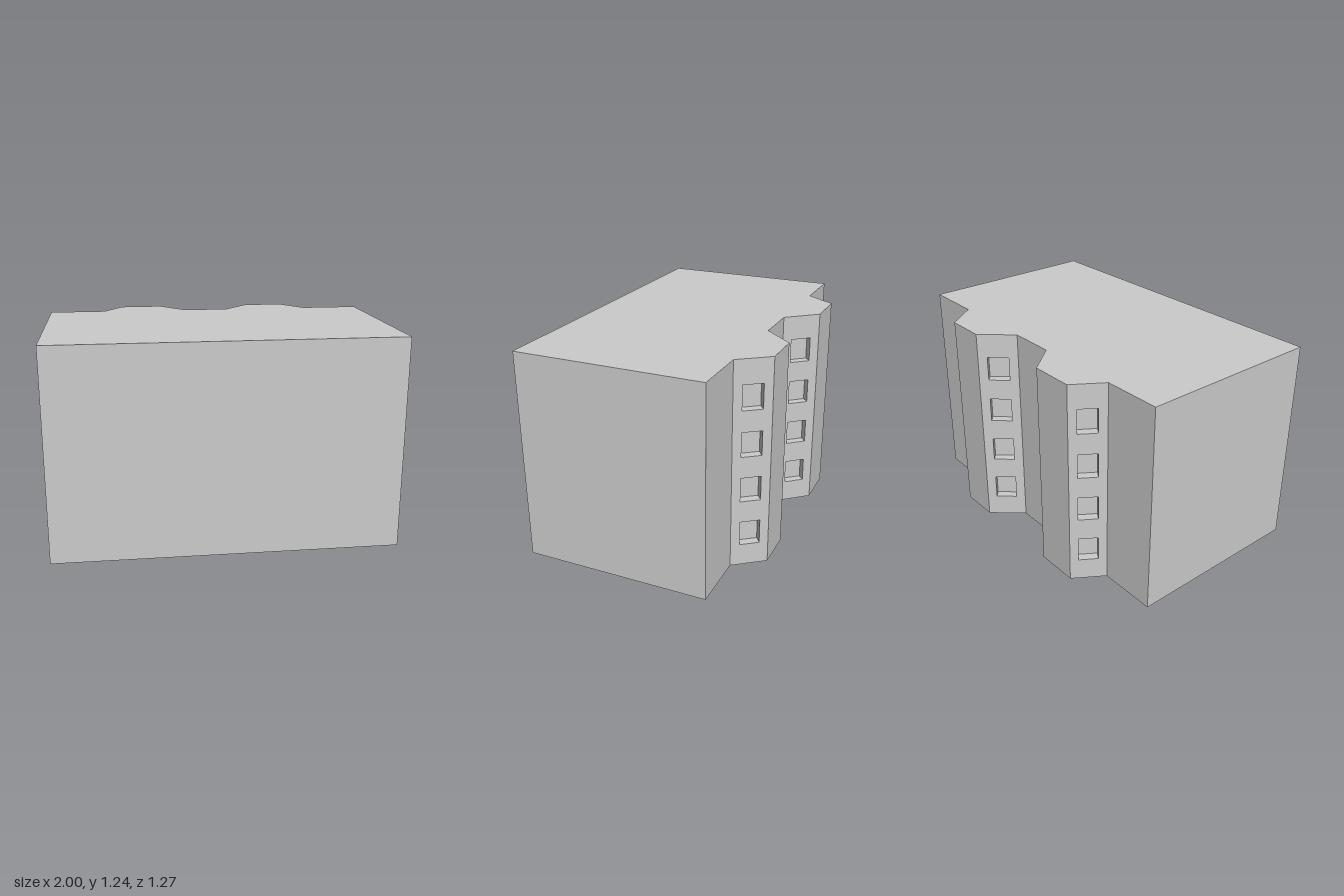
import * as THREE from 'three';

const HEIGHT = 1.235;
const DEPTH = 0.05; // window recess
const WINDOW_H = 0.145;
const SILLS = [0.13, 0.405, 0.677, 0.947];

// Footprint [x, z], running front, +x side, back with two bays, -x side
const OUTLINE = [
  [-1, 0.635], [1, 0.635], [1, -0.46],
  [0.655, -0.46], [0.525, -0.635], [0.29, -0.635], [0.135, -0.46],
  [-0.14, -0.46], [-0.29, -0.635], [-0.545, -0.635], [-0.66, -0.46],
  [-1, -0.46],
];
const GLAZED = [3, 5, 7, 9]; // slanted bay sides that carry windows

const material = new THREE.MeshStandardMaterial({ color: 0xcccccc, flatShading: true });
const insideMaterial = material.clone();
insideMaterial.side = THREE.BackSide;

function mesh(name, geometry, mat = material) {
  const m = new THREE.Mesh(geometry, mat);
  m.name = name;
  return m;
}

function rectangle(PathType, x, y, w, h) {
  return new PathType([[x, y], [x + w, y], [x + w, y + h], [x, y + h]]
    .map(([a, b]) => new THREE.Vector2(a, b)));
}

// Open-fronted box seen from within: jambs, sill, lintel and rear panel
function recess(x, y, w) {
  const box = new THREE.BoxGeometry(w, WINDOW_H, DEPTH);
  box.setIndex([...box.index.array].filter((_, i) => i < 24 || i >= 30));
  box.translate(x + w / 2, y + WINDOW_H / 2, -DEPTH / 2);
  return mesh('windowRecess', box, insideMaterial);
}

// Upright wall between two footprint corners, optionally with a column of windows
function wall([x0, z0], [x1, z1], glazed) {
  const group = new THREE.Group();
  const length = Math.hypot(x1 - x0, z1 - z0);
  const shape = rectangle(THREE.Shape, 0, 0, length, HEIGHT);
  if (glazed) {
    const x = length * 0.235, w = length * 0.53;
    for (const y of SILLS) {
      shape.holes.push(rectangle(THREE.Path, x, y, w, WINDOW_H));
      group.add(recess(x, y, w));
    }
  }
  group.add(mesh('wallFace', new THREE.ShapeGeometry(shape)));
  group.name = glazed ? 'baySideWall' : 'wall';
  group.position.set(x0, 0, z0);
  group.rotation.y = Math.atan2(z0 - z1, x1 - x0);
  return group;
}

// Horizontal footprint plate; sign +1 faces up, -1 faces down
function plate(name, y, sign) {
  const shape = new THREE.Shape(OUTLINE.map(([x, z]) => new THREE.Vector2(x, -sign * z)));
  const geometry = new THREE.ShapeGeometry(shape);
  geometry.rotateX(-sign * Math.PI / 2);
  geometry.translate(0, y, 0);
  return mesh(name, geometry);
}

export function createModel() {
  const model = new THREE.Group();
  model.name = 'building';
  model.add(plate('roof', HEIGHT, 1), plate('base', 0, -1));
  OUTLINE.forEach((p, i) => {
    model.add(wall(p, OUTLINE[(i + 1) % OUTLINE.length], GLAZED.includes(i)));
  });
  return model;
}
